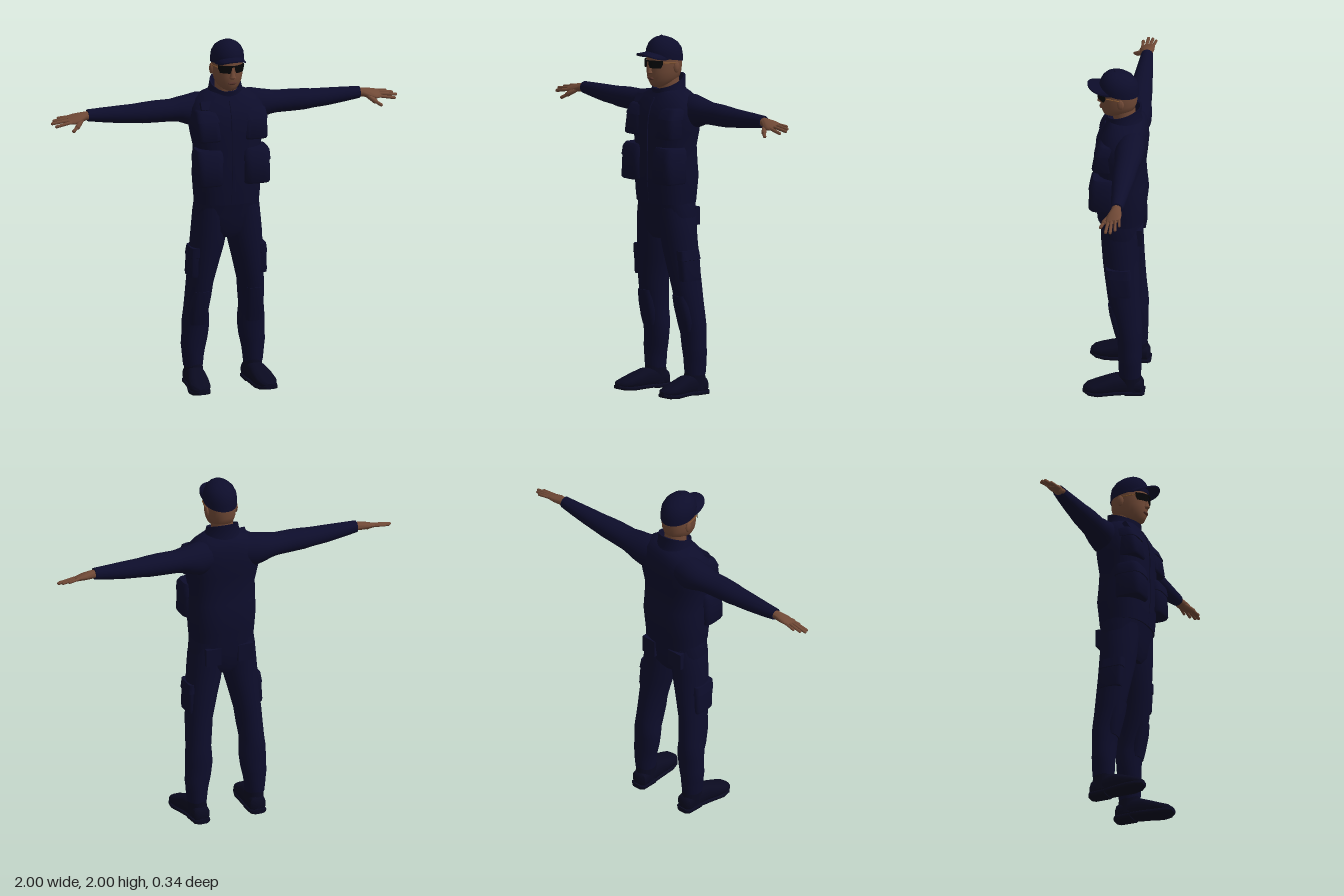
import * as THREE from 'three';
import { toCreasedNormals } from 'three/addons/utils/BufferGeometryUtils.js';

const material = (name, color, side = THREE.FrontSide) => {
  const m = new THREE.MeshStandardMaterial({ color, side });
  m.name = name;
  return m;
};

// Sections [t, c1, c2, r1, r2, power = 2, tilt = 0] joined along an axis.
// Axis y: c and r run along x, z. Axis x: along z, y. Axis z: along y, x.
function loft(axis, sections, n = 28, capped = true) {
  const pos = [], index = [];
  const put = (t, a, b) => pos.push(...(axis === 'y' ? [a, t, b] : axis === 'x' ? [t, b, a] : [b, a, t]));
  const round = (s, p) => Math.sign(s) * Math.abs(s) ** (2 / p);
  for (const [t, c1, c2, r1, r2, p = 2, tilt = 0] of sections)
    for (let i = 0; i < n; i++) {
      const a = (i / n) * Math.PI * 2, s = round(Math.sin(a), p);
      put(t + tilt * s, c1 + r1 * round(Math.cos(a), p), c2 + r2 * s);
    }
  const last = sections.length - 1;
  for (let j = 0; j < last; j++)
    for (let i = 0; i < n; i++) {
      const a = j * n + i, b = j * n + (i + 1) % n;
      index.push(a, a + n, b, b, a + n, b + n);
    }
  if (capped) {
    const lo = sections[0], hi = sections[last], k = pos.length / 3;
    put(lo[0], lo[1], lo[2]);
    put(hi[0], hi[1], hi[2]);
    for (let i = 0; i < n; i++) {
      const j = (i + 1) % n;
      index.push(k, i, j, k + 1, last * n + j, last * n + i);
    }
  }
  const g = new THREE.BufferGeometry();
  g.setAttribute('position', new THREE.Float32BufferAttribute(pos, 3));
  g.setIndex(index);
  return g;
}

// Move every vertex by a rule
function bend(g, rule) {
  const p = g.attributes.position, v = new THREE.Vector3();
  for (let i = 0; i < p.count; i++) {
    rule(v.fromBufferAttribute(p, i));
    p.setXYZ(i, v.x, v.y, v.z);
  }
  return g;
}

const box = (x, y, z, w, h, d) => new THREE.BoxGeometry(w, h, d).translate(x, y, z);
const ball = (x, y, z, rx, ry, rz) => new THREE.SphereGeometry(1, 16, 12).scale(rx, ry, rz).translate(x, y, z);

// Rounded rod between two points
function rod(a, b, r) {
  const A = new THREE.Vector3(...a), B = new THREE.Vector3(...b), d = B.clone().sub(A);
  const q = new THREE.Quaternion().setFromUnitVectors(new THREE.Vector3(0, 1, 0), d.clone().normalize());
  const mid = A.add(B).multiplyScalar(0.5);
  return new THREE.CapsuleGeometry(r, d.length(), 4, 10).applyQuaternion(q).translate(mid.x, mid.y, mid.z);
}

export function createModel() {
  const root = new THREE.Group();
  root.name = 'uniformedFigure';
  const cloth = material('navy cloth', 0x0d0d2b, THREE.DoubleSide);
  const boot = material('boot leather', 0x0a0a20);
  const skin = material('skin', 0x704936);
  const lip = material('lips', 0x56332a);
  const black = material('black glass', 0x060608);
  const brass = material('glasses arms', 0x8a5a30);

  const add = (name, g, mat, crease = 0.8) => {
    const mesh = new THREE.Mesh(toCreasedNormals(g, crease), mat);
    mesh.name = name;
    root.add(mesh);
  };
  const pair = (name, g, mat, crease) => {
    const m = g.clone().scale(-1, 1, 1);
    m.setIndex(Array.from(g.index.array).reverse());
    add(name + 'Left', g, mat, crease);
    add(name + 'Right', m, mat, crease);
  };

  // Jacket body and collar
  add('jacket', loft('y', [
    [1.07, 0, -0.02, 0.18, 0.132, 2.5], [1.13, 0, -0.02, 0.185, 0.138, 2.5],
    [1.22, 0, -0.022, 0.19, 0.146, 2.5], [1.3, 0, -0.018, 0.188, 0.142, 2.5],
    [1.39, 0, -0.016, 0.188, 0.137, 2.5], [1.47, 0, -0.02, 0.205, 0.142, 2.5],
    [1.55, 0, -0.027, 0.215, 0.142, 2.5], [1.61, 0, -0.035, 0.205, 0.132, 2.5],
    [1.655, 0, -0.044, 0.175, 0.113, 2.3], [1.68, 0, -0.045, 0.14, 0.1], [1.7, 0, -0.04, 0.09, 0.085]], 36), cloth);
  add('collar', loft('y', [
    [1.655, 0, -0.043, 0.125, 0.105, 2, -0.01], [1.69, 0, -0.036, 0.098, 0.092, 2, -0.015],
    [1.74, 0, -0.036, 0.086, 0.096, 2, -0.036], [1.738, 0, -0.036, 0.077, 0.086, 2, -0.036],
    [1.68, 0, -0.036, 0.07, 0.075, 2, -0.02]], 32, false), cloth);
  add('frontZip', loft('y', [
    [1.08, 0, 0.108, 0.012, 0.007, 4], [1.22, 0, 0.122, 0.012, 0.007, 4], [1.39, 0, 0.12, 0.012, 0.007, 4],
    [1.47, 0, 0.121, 0.012, 0.007, 4], [1.55, 0, 0.114, 0.012, 0.007, 4], [1.61, 0, 0.096, 0.012, 0.007, 4],
    [1.655, 0, 0.068, 0.012, 0.007, 4]], 12), cloth);

  // Sleeves with soft folds and cuffs
  pair('sleeve', loft('x', [
    [0.08, -0.085, 1.59, 0.07, 0.085], [0.16, -0.084, 1.582, 0.083, 0.095], [0.21, -0.083, 1.583, 0.082, 0.083],
    [0.26, -0.083, 1.588, 0.077, 0.069], [0.3, -0.082, 1.587, 0.07, 0.062], [0.4, -0.079, 1.588, 0.066, 0.061],
    [0.47, -0.078, 1.587, 0.062, 0.058], [0.51, -0.078, 1.588, 0.058, 0.053], [0.6, -0.077, 1.59, 0.05, 0.049],
    [0.7, -0.077, 1.595, 0.041, 0.041], [0.785, -0.076, 1.6, 0.033, 0.033]]), cloth);

  // Vest pockets and their flaps
  pair('lowerPocket', loft('y', [
    [1.19, 0.135, 0.068, 0.073, 0.072, 4], [1.2, 0.135, 0.07, 0.078, 0.078, 4], [1.3, 0.135, 0.067, 0.077, 0.077, 4],
    [1.37, 0.132, 0.063, 0.073, 0.07, 4], [1.385, 0.13, 0.06, 0.066, 0.062, 4]]), cloth);
  pair('lowerPocketFlap', loft('y', [
    [1.32, 0.135, 0.066, 0.081, 0.081, 4], [1.37, 0.134, 0.063, 0.079, 0.075, 4], [1.39, 0.132, 0.06, 0.07, 0.064, 4]]), cloth);
  pair('chestPocket', loft('y', [
    [1.44, 0.132, 0.068, 0.066, 0.055, 4], [1.45, 0.132, 0.07, 0.07, 0.06, 4],
    [1.54, 0.134, 0.058, 0.069, 0.057, 4], [1.6, 0.132, 0.038, 0.064, 0.05, 4]]), cloth);
  pair('chestPocketFlap', loft('y', [
    [1.55, 0.134, 0.058, 0.073, 0.059, 4], [1.6, 0.132, 0.04, 0.068, 0.053, 4], [1.61, 0.13, 0.034, 0.06, 0.045, 4]]), cloth);
  add('shoulderPouch', box(0, 0, 0, 0.1, 0.05, 0.025).rotateX(-0.55).translate(-0.12, 1.63, 0.05), cloth);

  // Trousers
  add('hips', loft('y', [
    [0.87, 0, -0.025, 0.1, 0.08], [0.91, 0, -0.025, 0.178, 0.1, 2.4], [1.0, 0, -0.026, 0.191, 0.115, 2.4],
    [1.09, 0, -0.02, 0.178, 0.13, 2.4]], 32), cloth);
  pair('trouserLeg', loft('y', [
    [0.115, 0.173, -0.084, 0.054, 0.06], [0.17, 0.173, -0.084, 0.06, 0.064], [0.2, 0.172, -0.084, 0.064, 0.063],
    [0.24, 0.17, -0.084, 0.071, 0.066], [0.27, 0.165, -0.083, 0.073, 0.066], [0.34, 0.16, -0.082, 0.077, 0.069],
    [0.39, 0.16, -0.08, 0.075, 0.073], [0.44, 0.159, -0.073, 0.07, 0.077], [0.52, 0.152, -0.059, 0.073, 0.084],
    [0.6, 0.146, -0.048, 0.075, 0.09], [0.73, 0.125, -0.036, 0.086, 0.097], [0.82, 0.111, -0.029, 0.096, 0.102],
    [0.89, 0.102, -0.025, 0.1, 0.104], [0.98, 0.096, -0.024, 0.097, 0.11], [1.05, 0.09, -0.022, 0.088, 0.11]]), cloth);
  pair('cargoPocket', loft('y', [
    [0.645, 0.184, -0.03, 0.038, 0.062, 5], [0.66, 0.184, -0.03, 0.04, 0.066, 5], [0.76, 0.18, -0.024, 0.04, 0.066, 5],
    [0.762, 0.18, -0.024, 0.044, 0.07, 5], [0.815, 0.174, -0.02, 0.042, 0.068, 5]], 20), cloth);
  pair('kneePatch', loft('y', [
    [0.36, 0.16, -0.055, 0.05, 0.05, 3], [0.41, 0.16, -0.048, 0.055, 0.056, 3],
    [0.5, 0.155, -0.03, 0.055, 0.06, 3], [0.56, 0.149, -0.02, 0.048, 0.06, 3]], 20), cloth);
  pair('backPocket', box(0.095, 0.99, -0.132, 0.09, 0.1, 0.03), cloth);

  // Boots
  pair('bootShaft', loft('y', [
    [0.03, 0.17, -0.085, 0.05, 0.068], [0.09, 0.17, -0.082, 0.051, 0.066], [0.16, 0.172, -0.084, 0.05, 0.056]]), boot);
  pair('bootFoot', loft('z', [
    [-0.158, 0.045, 0.168, 0.03, 0.03, 2.6], [-0.145, 0.05, 0.168, 0.045, 0.046, 2.6], [-0.06, 0.062, 0.17, 0.056, 0.051, 2.6],
    [0.0, 0.06, 0.177, 0.053, 0.054, 2.6], [0.05, 0.05, 0.184, 0.044, 0.06, 2.6], [0.11, 0.039, 0.191, 0.031, 0.059, 2.6],
    [0.15, 0.034, 0.194, 0.023, 0.045, 2.6], [0.17, 0.03, 0.195, 0.012, 0.022, 2.6]]), boot);
  pair('bootSole', loft('z', [
    [-0.165, 0.013, 0.168, 0.013, 0.03, 5], [-0.15, 0.013, 0.168, 0.013, 0.048, 5], [-0.06, 0.013, 0.17, 0.013, 0.052, 5],
    [-0.058, 0.017, 0.17, 0.011, 0.052, 5], [0.02, 0.016, 0.18, 0.012, 0.058, 5], [0.09, 0.013, 0.19, 0.013, 0.063, 5],
    [0.14, 0.016, 0.194, 0.013, 0.053, 5], [0.174, 0.022, 0.195, 0.01, 0.024, 5]]), boot);

  // Hands, sloping down towards the thumb
  pair('palm', bend(loft('x', [
    [0.76, -0.075, 1.6, 0.026, 0.024], [0.8, -0.074, 1.598, 0.028, 0.024], [0.84, -0.069, 1.592, 0.041, 0.022],
    [0.87, -0.067, 1.588, 0.043, 0.018], [0.9, -0.068, 1.585, 0.038, 0.011]], 20),
    v => { v.y -= (v.z + 0.07) * 0.3 * THREE.MathUtils.clamp((v.x - 0.78) * 12, 0, 1); }), skin);
  const fingers = [
    ['littleFinger', [0.885, 1.596, -0.1], [0.945, 1.59, -0.108], 0.0075],
    ['ringFinger', [0.89, 1.592, -0.08], [0.975, 1.581, -0.087], 0.0085],
    ['middleFinger', [0.89, 1.586, -0.059], [0.991, 1.573, -0.062], 0.009],
    ['indexFinger', [0.885, 1.578, -0.04], [0.975, 1.562, -0.034], 0.009],
    ['thumbBase', [0.825, 1.585, -0.052], [0.86, 1.556, -0.015], 0.014],
    ['thumb', [0.86, 1.556, -0.015], [0.888, 1.538, 0.002], 0.0095]];
  for (const [name, a, b, r] of fingers) pair(name, rod(a, b, r), skin);

  // Head and face
  add('neck', loft('y', [[1.64, 0, -0.035, 0.062, 0.062], [1.78, 0, -0.03, 0.06, 0.064]]), skin);
  add('head', loft('y', [
    [1.712, 0, 0.045, 0.02, 0.02], [1.722, 0, 0.035, 0.04, 0.045], [1.74, 0, 0.015, 0.058, 0.073],
    [1.765, 0, 0.001, 0.072, 0.095, 2.2], [1.8, 0, -0.004, 0.081, 0.101, 2.2], [1.84, 0, -0.005, 0.085, 0.102, 2.2],
    [1.88, 0, -0.005, 0.086, 0.104, 2.1], [1.92, 0, -0.005, 0.083, 0.098]], 32), skin);
  add('nose', loft('y', [
    [1.788, 0, 0.092, 0.013, 0.012], [1.796, 0, 0.096, 0.019, 0.02], [1.806, 0, 0.094, 0.015, 0.02],
    [1.845, 0, 0.09, 0.008, 0.012]], 14), skin);
  add('lips', ball(0, 1.763, 0.092, 0.026, 0.009, 0.011), lip);
  pair('ear', ball(0.087, 1.825, -0.022, 0.01, 0.031, 0.019), skin);

  // Wraparound sunglasses
  const wrap = v => { v.z += 0.112 - 8.5 * v.x * v.x; };
  pair('lens', bend(new THREE.BoxGeometry(0.064, 0.042, 0.006, 8, 2, 1).translate(0.041, 1.845, 0), v => {
    if (v.y < 1.83) v.x = 0.042 + (v.x - 0.041) * 0.75;
    wrap(v);
  }), black);
  add('glassesBridge', bend(new THREE.BoxGeometry(0.146, 0.007, 0.008, 16, 1, 1).translate(0, 1.862, 0), wrap), black);
  pair('glassesArm', rod([0.077, 1.853, 0.06], [0.09, 1.848, -0.025], 0.003), brass);

  // Cap with curved peak
  add('cap', loft('y', [
    [1.866, 0, -0.006, 0.091, 0.109, 2, 0.018], [1.895, 0, -0.005, 0.092, 0.109, 2, 0.012],
    [1.925, 0, -0.003, 0.088, 0.104], [1.955, 0, 0.002, 0.074, 0.086], [1.975, 0, 0.008, 0.053, 0.062],
    [1.988, 0, 0.013, 0.029, 0.034], [1.992, 0, 0.015, 0.01, 0.012]], 32), cloth);
  add('capButton', ball(0, 1.992, 0.015, 0.009, 0.006, 0.009), cloth);
  add('capPeak', bend(new THREE.BoxGeometry(2, 0.007, 1, 20, 1, 5), v => {
    const u = v.x, t = v.z + 0.5, a = u * 1.25;
    const inner = 0.1 * Math.cos(a) - 0.01, outer = 0.03 + 0.141 * Math.sqrt(1 - u * u * 0.97);
    v.x = 0.088 * Math.sin(a) * (1 - 0.04 * t);
    v.z = inner + (Math.max(outer, inner + 0.003) - inner) * t;
    v.y += 1.909 - 0.034 * u * u - 0.004 * t;
  }), cloth);

  return root;
}
